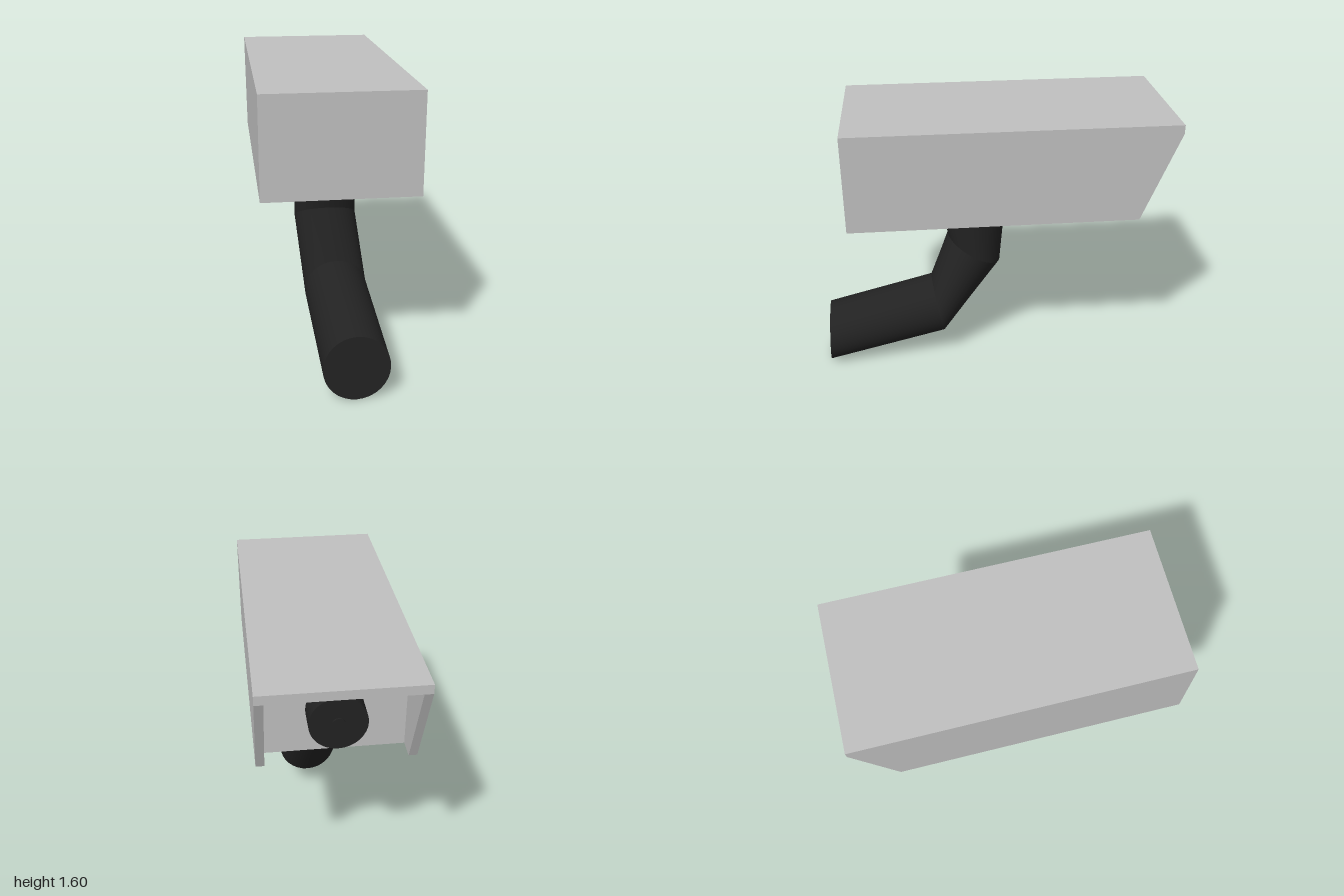
import * as THREE from 'three';

export function createModel() {
  const model = new THREE.Group();
  model.name = 'securityCamera';

  const grey = new THREE.MeshStandardMaterial({ color: 0xc0c0c0 });
  grey.name = 'light grey';
  const black = new THREE.MeshStandardMaterial({ color: 0x222222 });
  black.name = 'black';

  function add(parent, name, geometry, material, x = 0, y = 0, z = 0) {
    const mesh = new THREE.Mesh(geometry, material);
    mesh.name = name;
    mesh.position.set(x, y, z);
    parent.add(mesh);
    return mesh;
  }

  // Housing: solid core, overhanging roof and two slanted side walls
  const halfW = 0.415, wall = 0.045, bottom = 1.05, top = 1.6;
  const front = 0.81, panel = -0.69, back = -1, roof = 0.05;
  const innerW = 2 * (halfW - wall);
  const housing = new THREE.Group();
  housing.name = 'housing';
  model.add(housing);

  add(housing, 'core', new THREE.BoxGeometry(innerW, top - roof - bottom, front - panel), grey,
    0, (top - roof + bottom) / 2, (front + panel) / 2);
  add(housing, 'roof', new THREE.BoxGeometry(innerW, roof, front - back), grey,
    0, top - roof / 2, (front + back) / 2);

  const profile = new THREE.Shape([
    [front, bottom], [front, top], [back, top], [back, top - roof], [-0.8, bottom],
  ].map(([z, y]) => new THREE.Vector2(z, y)));
  const sideGeometry = new THREE.ExtrudeGeometry(profile, { depth: wall, bevelEnabled: false });
  sideGeometry.rotateY(-Math.PI / 2);
  add(housing, 'leftWall', sideGeometry, grey, halfW);
  add(housing, 'rightWall', sideGeometry, grey, -halfW + wall);

  // Lens and small sensor on the recessed panel
  function barrel(name, radius, length, sides, x, y, zStart) {
    const geometry = new THREE.CylinderGeometry(radius, radius, length, sides);
    geometry.rotateX(Math.PI / 2);
    add(model, name, geometry, black, x, y, zStart - length / 2);
  }
  barrel('lens', 0.15, 0.14, 32, 0, 1.3, panel);
  barrel('lensCentre', 0.034, 0.008, 16, 0, 1.3, panel - 0.14);
  barrel('sensor', 0.04, 0.035, 8, -0.285, 1.47, panel);

  // Bent arm: tilted rings, each with a centre and two in-plane directions
  const sides = 32, radius = 0.18;
  const rings = [
    { c: [0, 1.06, 0.09], u: [1, 0, 0], v: [0, 0, 1] },
    { c: [0, 0.91, 0.09], u: [1, 0, 0], v: [0, 0, 1] },
    { c: [0, 0.71, 0.09], u: [1, 0, 0], v: [0, 0.5, 0.866] },
    { c: [0.035, 0.333, 0.32], u: [1, 0, -0.03], v: [0, 0.98, 0.19] },
    { c: [0.058, 0.182, 0.99], u: [1, 0, -0.03], v: [0, 0.998, -0.05] },
  ];
  const ringPoints = ({ c, u, v }) => {
    const points = [];
    for (let i = 0; i < sides; i++) {
      const a = (i / sides) * Math.PI * 2;
      for (let k = 0; k < 3; k++) {
        points.push(c[k] + radius * (Math.cos(a) * u[k] + Math.sin(a) * v[k]));
      }
    }
    return points;
  };
  function indexed(positions, indices) {
    const geometry = new THREE.BufferGeometry();
    geometry.setAttribute('position', new THREE.Float32BufferAttribute(positions, 3));
    geometry.setIndex(indices);
    geometry.computeVertexNormals();
    return geometry;
  }

  const arm = new THREE.Group();
  arm.name = 'arm';
  model.add(arm);
  for (let s = 0; s < rings.length - 1; s++) {
    const indices = [];
    for (let i = 0; i < sides; i++) {
      const j = (i + 1) % sides;
      indices.push(i, j, sides + i, j, sides + j, sides + i);
    }
    const positions = [...ringPoints(rings[s]), ...ringPoints(rings[s + 1])];
    add(arm, 'armSegment' + (s + 1), indexed(positions, indices), black);
  }

  // Flat end of the arm
  const end = rings[rings.length - 1];
  const capIndices = [];
  for (let i = 0; i < sides; i++) capIndices.push(sides, i, (i + 1) % sides);
  add(arm, 'armEnd', indexed([...ringPoints(end), ...end.c], capIndices), black);

  return model;
}
